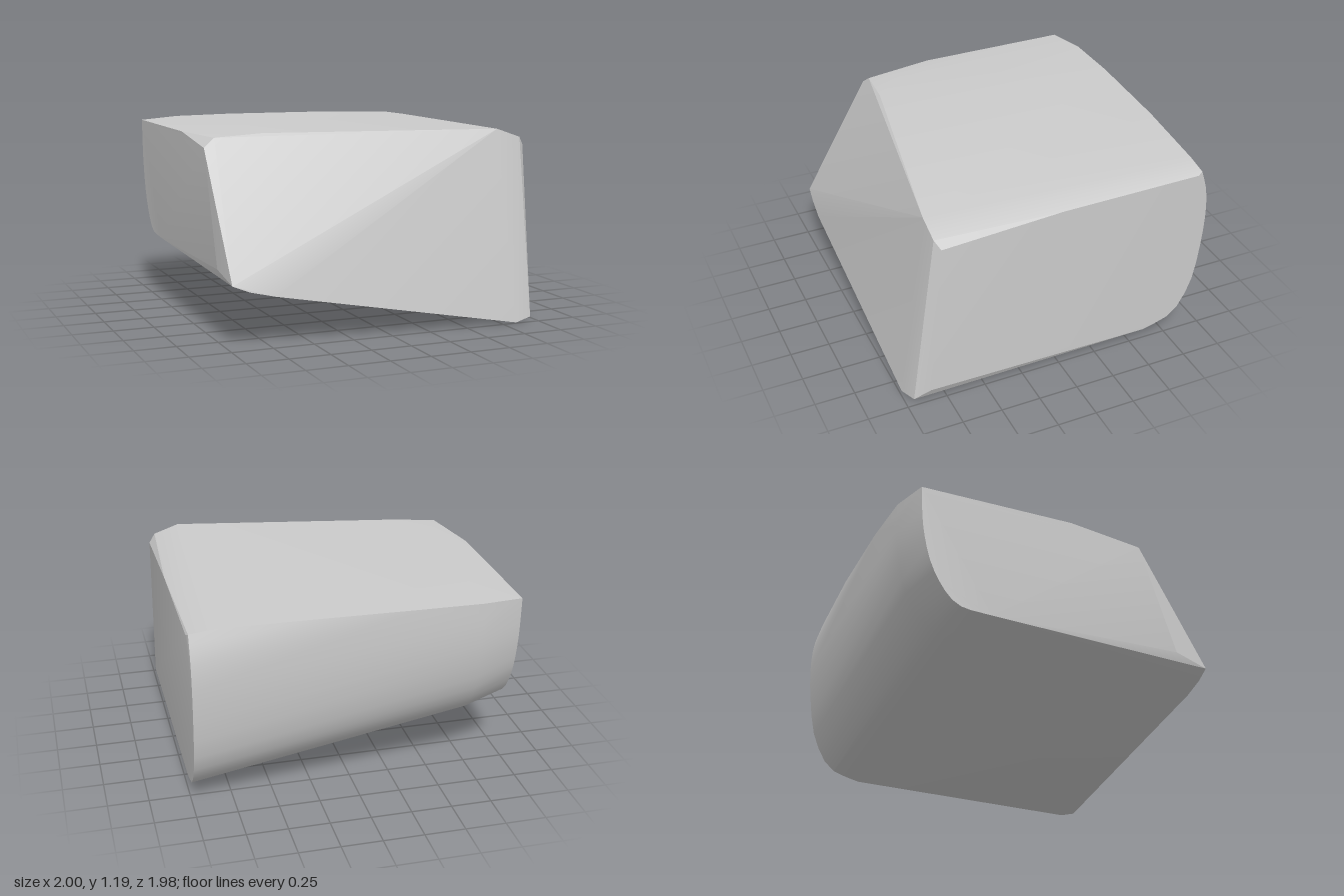
import * as THREE from 'three';
import { ConvexGeometry } from 'three/addons/geometries/ConvexGeometry.js';
import { toCreasedNormals } from 'three/addons/utils/BufferGeometryUtils.js';

// Rounded back profile at a given x, smoothed through a few [z, y] points
function backArc(x, profile) {
  const curve = new THREE.CatmullRomCurve3(profile.map(([z, y]) => new THREE.Vector3(x, y, z)));
  return curve.getPoints(14);
}

export function createModel() {
  const group = new THREE.Group();
  group.name = 'wedgeBlock';
  const points = [];

  // Back and underside curve, from the small end to the tall end
  points.push(
    ...backArc(-1, [[-0.48, 0.42], [-0.7, 0.45], [-0.84, 0.63], [-0.91, 0.88], [-0.93, 1.17]]),
    ...backArc(-0.74, [[-0.55, 0.34], [-0.75, 0.39], [-0.9, 0.57], [-0.965, 0.8], [-0.985, 1.0], [-0.985, 1.185]]),
    ...backArc(0.99, [[-0.6, 0.055], [-0.8, 0.12], [-0.92, 0.32], [-0.97, 0.6], [-0.985, 0.85], [-0.97, 1.02], [-0.93, 1.155]])
  );

  // Front, top and chamfered corners as [x, y, z]
  const corners = [
    // lower front edge
    [-1, 0.43, 0.75], [-0.98, 0.37, 0.965], [-0.88, 0.33, 0.975], [-0.73, 0.295, 0.985],
    [0.85, 0, 0.985], [0.97, 0.02, 0.95], [1, 0.08, 0.85],
    // upper front edge
    [-1, 1.11, 0.52], [-0.93, 1.165, 0.5], [-0.64, 1.185, 0.525],
    [0.8, 1.185, 0.79], [0.96, 1.13, 0.79], [1, 1.08, 0.76],
    // top face rim
    [-1, 1.17, 0.05], [-0.85, 1.185, 0.3], [-0.35, 1.19, -0.99], [0.3, 1.188, -0.97],
    [0.85, 1.175, -0.935], [1, 1.13, 0.0], [1, 1.14, -0.9],
  ];
  points.push(...corners.map((c) => new THREE.Vector3(...c)));

  const block = new THREE.Mesh(
    toCreasedNormals(new ConvexGeometry(points), 0.35),
    new THREE.MeshStandardMaterial({ color: 0xcccccc })
  );
  block.name = 'block';
  group.add(block);
  return group;
}
